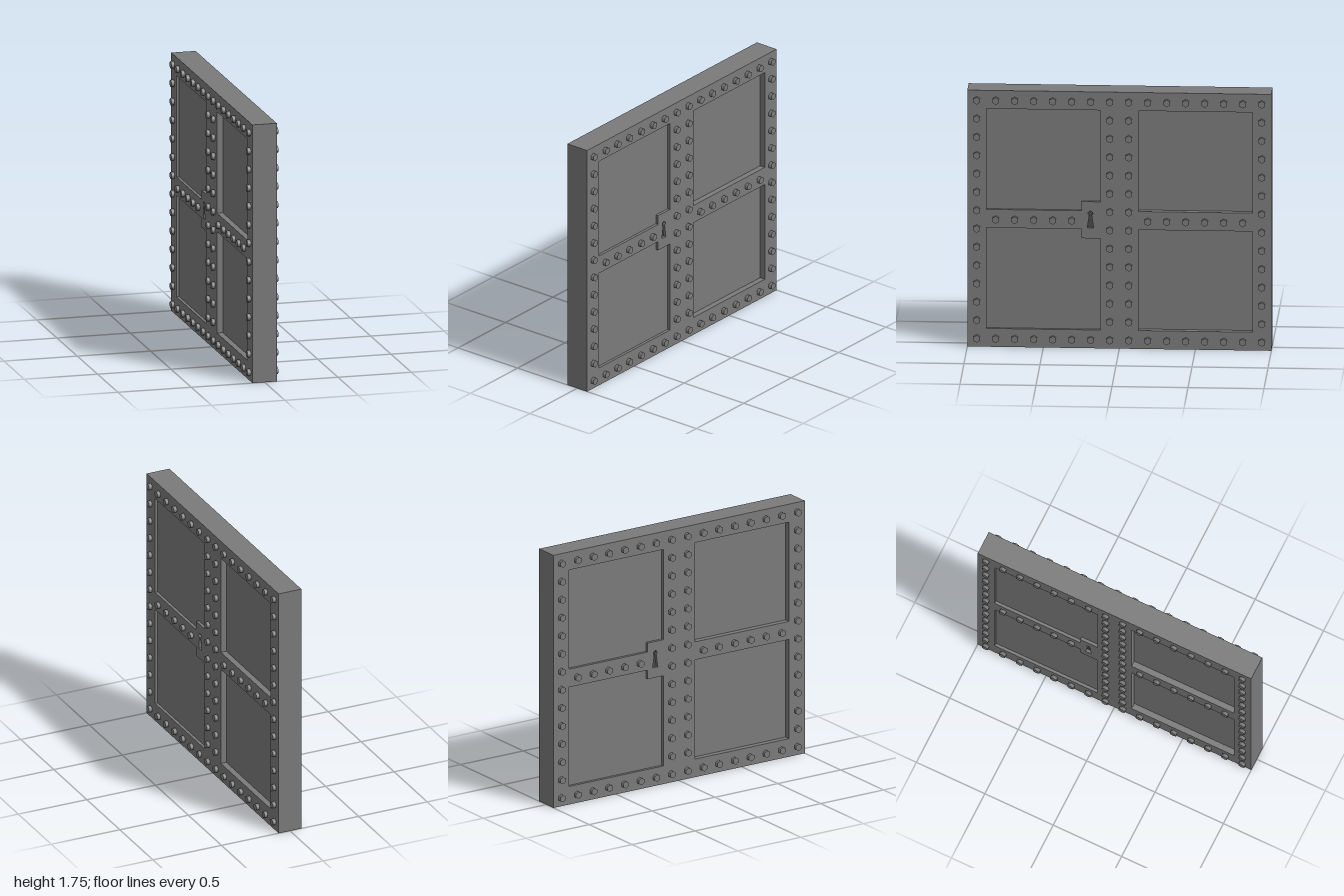
import * as THREE from 'three';
import { mergeGeometries } from 'three/addons/utils/BufferGeometryUtils.js';

const HEIGHT = 1.75, HALF = 0.083, MID = HEIGHT / 2;
const RIVET_RADIUS = 0.025, RIVET_HEIGHT = 0.022, KEYHOLE_DEPTH = 0.02;
const NOTCHED_DEPTH = 0.02, PLAIN_DEPTH = 0.04;

const iron = new THREE.MeshStandardMaterial({ color: 0x7a7a7a, side: THREE.DoubleSide });
const dark = new THREE.MeshStandardMaterial({ color: 0x494949, side: THREE.DoubleSide });

const P = (x, y) => new THREE.Vector2(x, y);
const rect = (x0, y0, x1, y1) => [P(x0, y0), P(x1, y0), P(x1, y1), P(x0, y1)];
const mirrorY = (pts) => pts.map((p) => P(p.x, HEIGHT - p.y)).reverse();

function mesh(name, geometry, material = iron) {
  const m = new THREE.Mesh(geometry, material);
  m.name = name;
  return m;
}

// Walls from the sheet (z = 0) down to a depth, along a closed counter-clockwise outline
function walls(pts, depth) {
  const pos = [];
  pts.forEach((a, i) => {
    const b = pts[(i + 1) % pts.length];
    pos.push(a.x, a.y, 0, b.x, b.y, 0, b.x, b.y, -depth);
    pos.push(a.x, a.y, 0, b.x, b.y, -depth, a.x, a.y, -depth);
  });
  const g = new THREE.BufferGeometry();
  g.setAttribute('position', new THREE.Float32BufferAttribute(pos, 3));
  g.computeVertexNormals();
  return g;
}

// Flat floor of an outline at a depth
const floor = (pts, depth) => new THREE.ShapeGeometry(new THREE.Shape(pts)).translate(0, 0, -depth);

// Hexagonal outline with a corner at the top
function hexagon({ x, y }) {
  return Array.from({ length: 6 }, (_, i) => {
    const a = Math.PI / 6 + (i * Math.PI) / 3;
    return P(x + RIVET_RADIUS * Math.cos(a), y + RIVET_RADIUS * Math.sin(a));
  });
}

// Hollow rivet: six smooth-shaded sides and a flat cap
function rivetGeometry() {
  const sides = new THREE.CylinderGeometry(RIVET_RADIUS, RIVET_RADIUS, RIVET_HEIGHT, 6, 1, true);
  sides.rotateX(Math.PI / 2).translate(0, 0, RIVET_HEIGHT / 2);
  const cap = new THREE.CircleGeometry(RIVET_RADIUS, 6, Math.PI / 6).translate(0, 0, RIVET_HEIGHT);
  return mergeGeometries([sides, cap]);
}

// Rivets border the sheet, flank the centre seam and follow the cross bar
function rivetCentres() {
  const list = [];
  for (let i = 0; i < 16; i++) {
    const x = -0.9375 + i * 0.125;
    const column = [0, 7, 8, 15].includes(i);
    for (let k = 0; k < 14; k++) {
      if (column || k === 0 || k === 13) list.push(P(x, 0.058 + k * 0.125));
    }
    if (!column && i !== 6) list.push(P(x, 0.871));
  }
  return list;
}

// Round top with a flared slot below
function keyholeOutline(x) {
  const pts = [P(x - 0.021, 0.82), P(x + 0.021, 0.82)];
  for (let i = 0; i <= 12; i++) {
    const a = THREE.MathUtils.degToRad(-60 + i * 25);
    pts.push(P(x + 0.016 * Math.cos(a), 0.92 + 0.016 * Math.sin(a)));
  }
  return pts;
}

// One riveted face, facing +z
function createFace() {
  const face = new THREE.Group();
  // Panels next to the lock have a notched corner and are shallower
  const notched = [P(-0.875, 0.9375), P(-0.25, 0.9375), P(-0.25, 1), P(-0.125, 1), P(-0.125, 1.625), P(-0.875, 1.625)];
  const plain = rect(0.125, 0.9375, 0.875, 1.625);
  const panels = [notched, mirrorY(notched), plain, mirrorY(plain)];
  const rivets = rivetCentres();
  const keyhole = keyholeOutline(-0.19);

  const sheet = new THREE.Shape(rect(-1, 0, 1, HEIGHT));
  sheet.holes = [...panels, ...rivets.map(hexagon), keyhole].map((pts) => new THREE.Path(pts));
  face.add(mesh('frameSheet', new THREE.ShapeGeometry(sheet)));

  panels.forEach((pts, i) => {
    const depth = i < 2 ? NOTCHED_DEPTH : PLAIN_DEPTH;
    face.add(mesh('panelRim', walls(pts, depth)), mesh('panelFloor', floor(pts, depth)));
  });

  const rivetShape = rivetGeometry();
  rivets.forEach((c) => {
    const rivet = mesh('rivet', rivetShape);
    rivet.position.set(c.x, c.y, 0);
    face.add(rivet);
  });

  face.add(mesh('keyholeRim', walls(keyhole, KEYHOLE_DEPTH)));
  face.add(mesh('keyholeFloor', floor(keyhole, KEYHOLE_DEPTH), dark));
  return face;
}

export function createModel() {
  const model = new THREE.Group();
  model.name = 'rivetedDoors';

  // The two faces are half a turn apart
  for (const side of [1, -1]) {
    const face = createFace();
    face.name = side > 0 ? 'leftFace' : 'rightFace';
    face.rotation.y = (side * Math.PI) / 2;
    face.position.x = side * HALF;
    model.add(face);

    // End walls
    const end = mesh(side > 0 ? 'frontEdge' : 'backEdge', new THREE.PlaneGeometry(2 * HALF, HEIGHT));
    end.rotation.y = side > 0 ? 0 : Math.PI;
    end.position.set(0, MID, side);
    model.add(end);
  }

  // Top wall; the underside stays open
  const top = mesh('topEdge', new THREE.PlaneGeometry(2 * HALF, 2));
  top.rotation.x = -Math.PI / 2;
  top.position.y = HEIGHT;
  model.add(top);
  return model;
}
